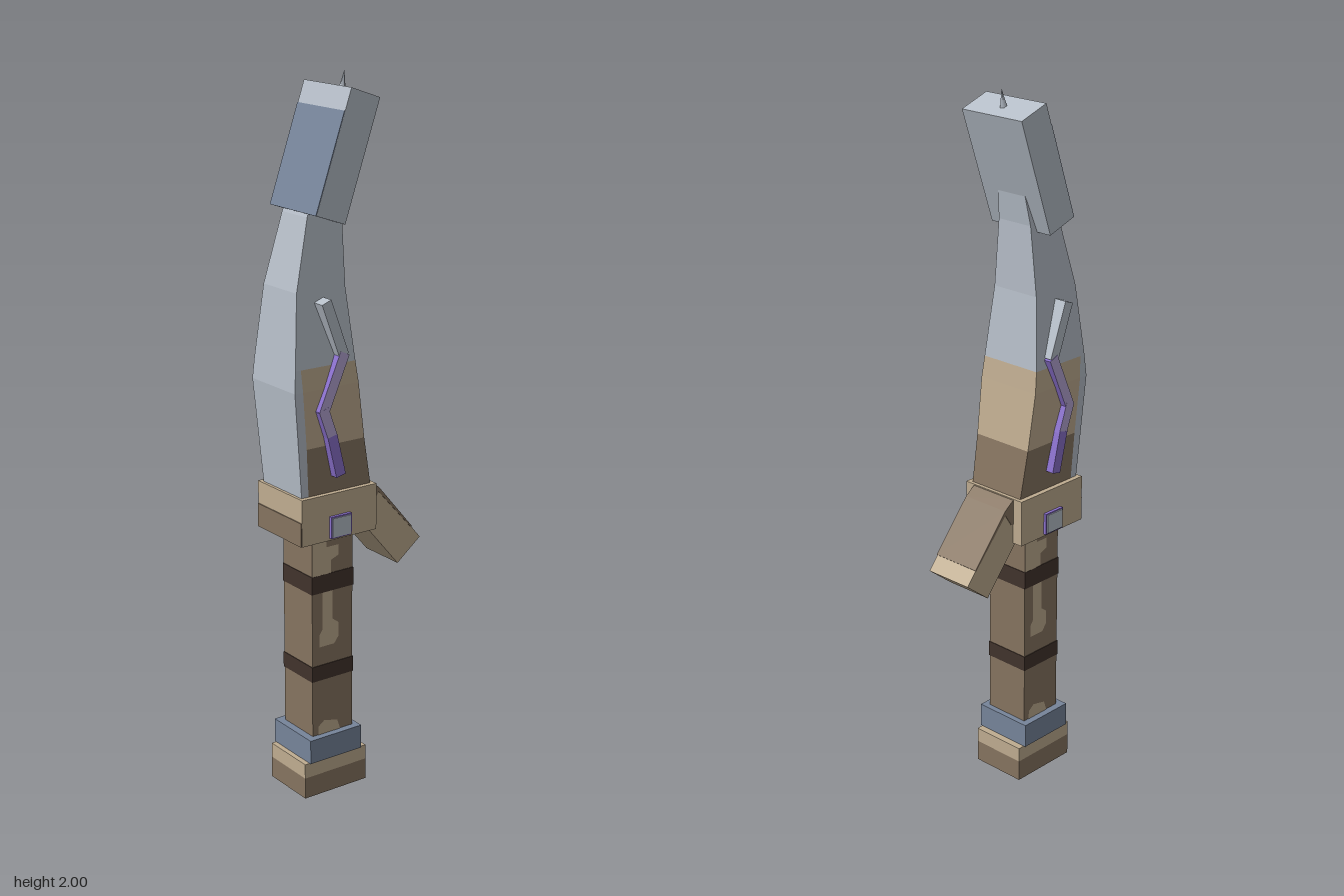
import * as THREE from 'three';

const mat = (name, color) => {
  const m = new THREE.MeshStandardMaterial({ color });
  m.name = name;
  return m;
};

export function createModel() {
  const steel = mat('steel', 0xb6bec8);
  const slate = mat('slate', 0x76849a);
  const tan = mat('tan', 0xbfac90);
  const brown = mat('brown', 0x867460);
  const dark = mat('dark brown', 0x41332c);
  const lilac = mat('lilac', 0xb5a6d4);
  const violet = mat('violet', 0x8a70cc);

  const root = new THREE.Group();
  root.name = 'knife';

  const add = (name, geometry, material, parent = root) => {
    const mesh = new THREE.Mesh(geometry, material);
    mesh.name = name;
    parent.add(mesh);
    return mesh;
  };
  // Box from x and y limits, centred on z
  const block = (name, x0, x1, y0, y1, depth, material, parent) => {
    const mesh = add(name, new THREE.BoxGeometry(x1 - x0, y1 - y0, depth), material, parent);
    mesh.position.set((x0 + x1) / 2, (y0 + y1) / 2, 0);
    return mesh;
  };
  const outline = (pts) => new THREE.Shape(pts.map(([x, y]) => new THREE.Vector2(x, y)));
  // Side profile extruded symmetrically through z
  const slab = (name, pts, depth, material) => {
    const g = new THREE.ExtrudeGeometry(outline(pts), { depth, bevelEnabled: false });
    g.translate(0, 0, -depth / 2);
    return add(name, g, material);
  };

  // Pommel, two-toned with a dark base
  block('pommelBase', -0.185, 0.025, 0, 0.062, 0.166, [brown, brown, brown, dark, brown, brown]);
  block('pommelTop', -0.185, 0.025, 0.062, 0.105, 0.166, tan);
  block('collar', -0.17, 0.005, 0.105, 0.175, 0.178, slate);

  // Grip with dark wraps
  const gripX = -0.08;
  block('grip', -0.148, -0.012, 0.17, 0.78, 0.136, brown);
  for (const [y0, y1] of [[0.34, 0.385], [0.6, 0.652]]) {
    block('gripWrap', -0.15, -0.01, y0, y1, 0.14, dark);
  }

  // Worn patches on the front and back of the grip
  const patches = [
    [[-0.147, 0.652], [-0.085, 0.652], [-0.085, 0.69], [-0.06, 0.7], [-0.06, 0.73],
      [-0.1, 0.73], [-0.1, 0.765], [-0.147, 0.765]],
    [[-0.115, 0.6], [-0.115, 0.49], [-0.125, 0.475], [-0.125, 0.44], [-0.075, 0.44],
      [-0.06, 0.46], [-0.06, 0.5], [-0.08, 0.515], [-0.08, 0.6]],
    [[-0.13, 0.175], [-0.13, 0.2], [-0.11, 0.215], [-0.065, 0.205], [-0.055, 0.175]],
  ];
  for (const turn of [0, Math.PI]) {
    const side = new THREE.Group();
    side.name = 'gripPatches';
    side.position.x = gripX;
    side.rotation.y = turn;
    root.add(side);
    for (const pts of patches) {
      const g = new THREE.ShapeGeometry(outline(pts));
      g.translate(-gripX, 0, 0.0695);
      add('gripPatch', g, tan, side);
    }
  }

  // Guard with a dark lower patch on its spine side
  block('guard', -0.205, 0.042, 0.763, 0.895, 0.21, tan);
  block('guardSpinePatch', -0.208, -0.204, 0.763, 0.83, 0.206, brown);

  // Prong sloping down from the guard, with a brown upper skin
  slab('prong', [[0, 0.89], [0, 0.78], [0.02, 0.775], [0.142, 0.63], [0.22, 0.692],
    [0.072, 0.868], [0.042, 0.89]], 0.146, tan);
  slab('prongTop', [[0, 0.892], [0, 0.82], [0.05, 0.82], [0.073, 0.856], [0.187, 0.728],
    [0.19, 0.731], [0.074, 0.869], [0.043, 0.892]], 0.149, brown);

  // Guard stud
  block('studRim', -0.116, -0.048, 0.77, 0.832, 0.228, violet);
  block('studFace', -0.112, -0.052, 0.774, 0.828, 0.234, steel);

  // Blade cross-sections: y, spine x, stripe x, edge x, half depth
  const rings = [
    [0.88, -0.195, -0.173, 0.034, 0.09],
    [1.03, -0.208, -0.182, 0.007, 0.095],
    [1.19, -0.222, -0.196, -0.016, 0.1],
    [1.25, -0.217, -0.2, -0.024, 0.096],
    [1.45, -0.198, -0.185, -0.043, 0.076],
    [1.64, -0.15, -0.138, -0.04, 0.057],
    [1.72, -0.118, -0.105, -0.028, 0.048],
  ];
  const corners = ([y, a, s, e, d]) => [[e, y, d], [e, y, -d], [s, y, -d], [a, y, -d], [a, y, d], [s, y, d]];
  const bladePart = (name, lo, hi, sides, material) => {
    const pos = [];
    for (let i = lo; i < hi; i++) {
      const p = corners(rings[i]);
      const q = corners(rings[i + 1]);
      for (const k of sides) {
        const n = (k + 1) % 6;
        pos.push(...p[k], ...p[n], ...q[n], ...p[k], ...q[n], ...q[k]);
      }
    }
    const g = new THREE.BufferGeometry();
    g.setAttribute('position', new THREE.Float32BufferAttribute(pos, 3));
    g.computeVertexNormals();
    add(name, g, material);
  };
  bladePart('bladeSpine', 0, 6, [2, 3, 4], steel);
  bladePart('bladeRoot', 0, 1, [0, 1, 5], brown);
  bladePart('bladeLower', 1, 3, [0, 1, 5], tan);
  bladePart('bladeUpper', 3, 6, [0, 1, 5], steel);

  // Zigzag inlay passing through the blade
  const zig = [[-0.13, 1.425], [-0.074, 1.275], [-0.138, 1.13], [-0.113, 1.06], [-0.085, 0.945]];
  const zigFaces = [steel, lilac, lilac, violet];
  zigFaces.forEach((face, i) => {
    const [x0, y0] = zig[i];
    const [x1, y1] = zig[i + 1];
    const rim = i === 0 ? steel : violet;
    const length = Math.hypot(x1 - x0, y1 - y0) + (i === 0 || i === 3 ? 0 : 0.014);
    const seg = add('zigzagInlay', new THREE.BoxGeometry(0.031, length, 0.23 + i * 0.001),
      [rim, rim, rim, rim, face, face]);
    seg.position.set((x0 + x1) / 2, (y0 + y1) / 2, 0);
    seg.rotation.z = Math.atan2(x0 - x1, y0 - y1) * -1;
  });

  // Tilted block at the tip, with a slate panel on its spine side
  const head = new THREE.Group();
  head.name = 'head';
  head.position.set(-0.054, 1.794, 0);
  head.rotation.z = -0.335;
  root.add(head);
  block('headBlock', -0.048, 0.048, -0.168, 0.168, 0.21, steel, head);
  block('headSpinePanel', -0.05, -0.047, -0.168, 0.107, 0.209, slate, head);

  // Small spike on top
  const spike = add('spike', new THREE.ConeGeometry(0.01, 0.05, 5), steel);
  spike.position.set(0.006, 1.975, 0);
  spike.rotation.z = -0.15;

  return root;
}
